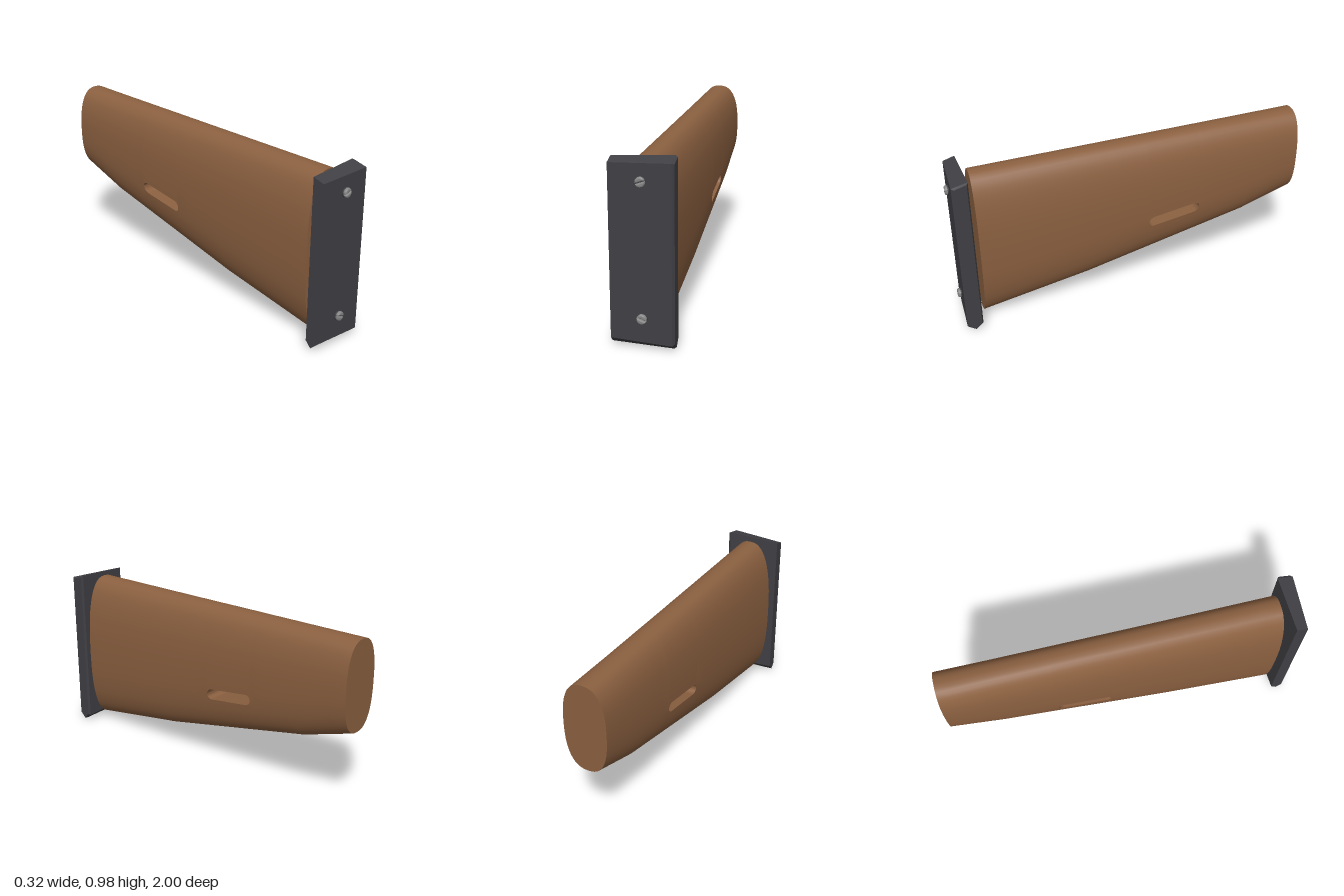
import * as THREE from 'three';
import { toCreasedNormals } from 'three/addons/utils/BufferGeometryUtils.js';

const wood = new THREE.MeshStandardMaterial({ color: 0x8b6040 });
const plateGrey = new THREE.MeshStandardMaterial({ color: 0x404045 });
const steel = new THREE.MeshStandardMaterial({ color: 0x858585 });

// Collects quads (counter-clockwise from outside) into a geometry
function quadBuilder() {
  const pos = [];
  return {
    quad(a, b, c, d) { pos.push(...a, ...b, ...c, ...a, ...c, ...d); },
    build(crease) {
      const g = new THREE.BufferGeometry();
      g.setAttribute('position', new THREE.Float32BufferAttribute(pos, 3));
      return toCreasedNormals(g, crease);
    },
  };
}

// Linear interpolation along [z, value] points with falling z
function along(points, z) {
  let i = 0;
  while (i < points.length - 2 && z < points[i + 1][0]) i++;
  const [z0, v0] = points[i], [z1, v1] = points[i + 1];
  return v0 + (v1 - v0) * (z - z0) / (z1 - z0);
}

const top = [[0.87, 0.935], [-1, 0.98]];
const bottom = [[0.87, 0.035], [0.25, 0.15], [-0.7, 0.375], [-1, 0.48]];
const halfWidth = [[0.87, 0.143], [-1, 0.122]];
const slot = { z: -0.248, y: 0.49, half: 0.152, r: 0.031, slope: -0.155 };
const N = 2.5; // roundness of the cross-section
const ROWS = 14;

// Rows of one side from crown to slot edge, then from slot edge to keel
function section(z) {
  const t = along(top, z), b = along(bottom, z), w = along(halfWidth, z);
  const c = (t + b) / 2, h = (t - b) / 2;
  const mid = slot.y + slot.slope * (z - slot.z);
  const d = Math.max(0, Math.abs(z - slot.z) - (slot.half - slot.r));
  const gap = Math.sqrt(Math.max(0, slot.r ** 2 - d * d));
  const angleAt = (y) => {
    const s = (y - c) / h;
    return Math.asin(Math.sign(s) * Math.abs(s) ** (N / 2));
  };
  const rows = [];
  const run = (from, to) => {
    for (let j = 0; j <= ROWS; j++) {
      const a = from + (to - from) * j / ROWS, s = Math.sin(a);
      rows.push([w * Math.abs(Math.cos(a)) ** (2 / N), c + h * Math.sign(s) * Math.abs(s) ** (2 / N), z]);
    }
  };
  run(Math.PI / 2, angleAt(mid + gap));
  run(angleAt(mid - gap), -Math.PI / 2);
  return rows;
}

function stockGeometry() {
  // Columns, packed closely around the slot's round ends
  const zs = [];
  const span = (a, b, n) => { for (let i = 0; i < n; i++) zs.push(a + (b - a) * i / n); };
  const slotFront = slot.z + slot.half, slotBack = slot.z - slot.half;
  span(0.87, 0.25, 6);
  span(0.25, slotFront, 4);
  for (let i = 0; i < 8; i++) zs.push(slotFront - slot.r * (1 - Math.cos(i / 8 * Math.PI / 2)));
  span(slotFront - slot.r, slotBack + slot.r, 4);
  for (let i = 0; i < 8; i++) zs.push(slotBack + slot.r * (1 - Math.sin(i / 8 * Math.PI / 2)));
  span(slotBack, -0.7, 4);
  span(-0.7, -1, 4);
  zs.push(-1);

  const cols = zs.map(section);
  const flip = ([x, y, z]) => [-x, y, z];
  const q = quadBuilder();
  for (let i = 0; i < cols.length - 1; i++) {
    const A = cols[i], B = cols[i + 1];
    for (let j = 0; j < A.length - 1; j++) {
      if (j === ROWS) continue; // opening of the slot
      q.quad(A[j], A[j + 1], B[j + 1], B[j]);
      q.quad(flip(B[j]), flip(B[j + 1]), flip(A[j + 1]), flip(A[j]));
    }
    // Slot walls
    const zm = (zs[i] + zs[i + 1]) / 2;
    if (Math.abs(zm - slot.z) < slot.half) {
      const u = ROWS, l = ROWS + 1;
      q.quad(flip(B[u]), B[u], A[u], flip(A[u]));
      q.quad(flip(A[l]), A[l], B[l], flip(B[l]));
    }
  }
  // Flat ends
  const F = cols[0], E = cols[cols.length - 1];
  for (let j = 0; j < F.length - 1; j++) {
    q.quad(flip(F[j]), flip(F[j + 1]), F[j + 1], F[j]);
    q.quad(E[j], E[j + 1], flip(E[j + 1]), flip(E[j]));
  }
  return q.build(0.7);
}

// End plate: five-sided profile swept across x, thicker at +x, with a chamfered side
function plateGeometry() {
  const profile = (x, zf, zb, yLow, yHigh, yTopFront) => [
    [x, yTopFront, zf], [x, yLow + 0.03, zf], [x, yLow, (zf + zb) / 2],
    [x, yLow + 0.035, zb], [x, yHigh, zb],
  ];
  const rings = [
    profile(-0.162, 0.972, 0.908, 0.013, 0.942, 0.922),
    profile(0.148, 0.985, 0.896, 0, 0.955, 0.933),
    profile(0.16, 0.973, 0.904, 0.008, 0.947, 0.928),
  ];
  const q = quadBuilder();
  for (let i = 0; i < 2; i++) {
    for (let k = 0; k < 5; k++) {
      const n = (k + 1) % 5;
      q.quad(rings[i][k], rings[i][n], rings[i + 1][n], rings[i + 1][k]);
    }
  }
  const cap = (r) => { q.quad(r[0], r[1], r[3], r[4]); q.quad(r[1], r[2], r[3], r[3]); };
  cap(rings[2]);
  cap([4, 3, 2, 1, 0].map((k) => rings[0][k]));
  return q.build(0.2);
}

// Slotted screw: a dark base disc under two bevelled half discs
function screw(y, angle) {
  const g = new THREE.Group();
  g.name = 'screw';
  const base = new THREE.Mesh(new THREE.CylinderGeometry(0.026, 0.026, 0.02, 20), plateGrey);
  base.name = 'screwBase';
  base.rotation.x = Math.PI / 2;
  base.position.z = 0.975;
  g.add(base);
  const half = new THREE.Shape().absarc(0, 0, 0.018, 0.45, Math.PI - 0.45, false);
  const geo = new THREE.ExtrudeGeometry(half, {
    depth: 0.012, bevelThickness: 0.008, bevelSize: 0.008, bevelOffset: -0.0005, bevelSegments: 3, curveSegments: 10,
  });
  for (const turn of [0, Math.PI]) {
    const m = new THREE.Mesh(geo, steel);
    m.name = 'screwHeadHalf';
    m.rotation.z = turn;
    m.position.z = 0.98;
    g.add(m);
  }
  g.position.y = y;
  g.rotation.z = angle;
  return g;
}

export function createModel() {
  const model = new THREE.Group();
  model.name = 'woodenStock';
  const stock = new THREE.Mesh(stockGeometry(), wood);
  stock.name = 'stockBody';
  const plate = new THREE.Mesh(plateGeometry(), plateGrey);
  plate.name = 'endPlate';
  model.add(stock, plate, screw(0.84, 0.35), screw(0.16, -0.35));
  return model;
}
